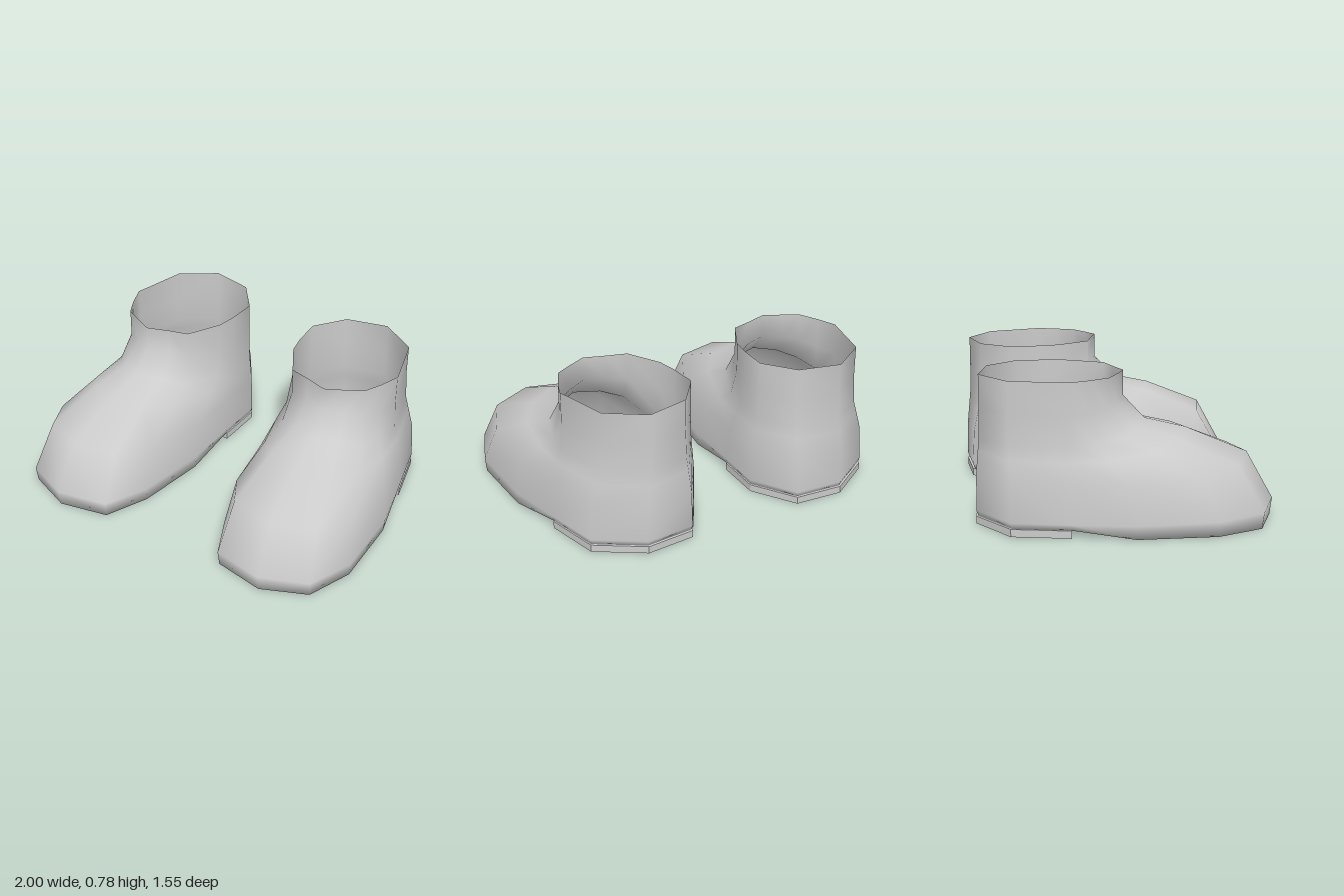
import * as THREE from 'three';

// Matching outlines [x, z], both running from the toe, round the outer side and heel, to the inner side
const SOLE = [[0.65, 0.775], [0.9, 0.67], [1, 0.42], [0.99, 0], [0.92, -0.32], [0.85, -0.62], [0.6, -0.78],
  [0.33, -0.76], [0.18, -0.52], [0.19, -0.25], [0.195, 0.08], [0.26, 0.48], [0.37, 0.72]];
const RIM = [[0.57, -0.01], [0.67, -0.06], [0.76, -0.11], [0.81, -0.21], [0.85, -0.32], [0.77, -0.62], [0.57, -0.755],
  [0.34, -0.7], [0.21, -0.53], [0.22, -0.37], [0.24, -0.26], [0.34, -0.08], [0.45, -0.05]];

// Levels from sole to rim: blend towards the rim outline, height at the sides and heel, height over the toe
const LEVELS = [[0, 0, 0], [0, 0.07, 0.09], [0.18, 0.27, 0.345], [0.59, 0.38, 0.48],
  [0.86, 0.45, 0.53], [1, 0.61, 0.65], [1, 0.78, 0.782]];
const HEEL_HEIGHT = 0.04;
const HEEL_FIRST = 4, HEEL_LAST = 9;

const material = new THREE.MeshStandardMaterial({ color: 0xcccccc, side: THREE.DoubleSide });

// Upper and sole as one smooth skin, open at the ankle
function upperGeometry(side) {
  const n = SOLE.length;
  const positions = [];
  const index = [];
  const tri = (a, b, c) => (side > 0 ? index.push(a, b, c) : index.push(a, c, b));

  LEVELS.forEach(([t, ySide, yToe], row) => {
    SOLE.forEach(([sx, sz], k) => {
      const front = Math.max(0, (sz + 0.1) / 0.875) ** 2;
      const inset = row === 0 ? 0.985 : 1;
      const x = 0.59 + (THREE.MathUtils.lerp(sx, RIM[k][0], t) - 0.59) * inset;
      const z = THREE.MathUtils.lerp(sz, RIM[k][1], t) * inset;
      let y = THREE.MathUtils.lerp(ySide, yToe, front);
      // the sole rises from the ball of the foot to the heel
      if (row === 0 && k >= HEEL_FIRST && k <= HEEL_LAST) y = HEEL_HEIGHT;
      positions.push(side * x, y, z);
    });
  });

  // walls
  for (let r = 0; r < LEVELS.length - 1; r++) {
    for (let k = 0; k < n; k++) {
      const a = r * n + k, b = r * n + (k + 1) % n;
      tri(a, b, b + n);
      tri(a, b + n, a + n);
    }
  }

  // sole, bridged from outer to inner edge
  tri(0, n - 1, 1);
  for (let i = 1; i < 6; i++) {
    tri(i, n - i, i + 1);
    tri(n - i, n - i - 1, i + 1);
  }

  const g = new THREE.BufferGeometry();
  g.setAttribute('position', new THREE.Float32BufferAttribute(positions, 3));
  g.setIndex(index);
  g.computeVertexNormals();
  return g;
}

// Low heel block under the rear of the sole
function heelGeometry(side) {
  const outline = SOLE.slice(HEEL_FIRST, HEEL_LAST + 1)
    .map(([x, z]) => new THREE.Vector2(side * x, -z));
  const g = new THREE.ExtrudeGeometry(new THREE.Shape(outline), { depth: HEEL_HEIGHT, bevelEnabled: false });
  return g.rotateX(-Math.PI / 2);
}

function createBoot(side) {
  const boot = new THREE.Group();
  boot.name = side > 0 ? 'leftBoot' : 'rightBoot';
  const upper = new THREE.Mesh(upperGeometry(side), material);
  upper.name = 'upper';
  const heel = new THREE.Mesh(heelGeometry(side), material);
  heel.name = 'heel';
  boot.add(upper, heel);
  return boot;
}

export function createModel() {
  const model = new THREE.Group();
  model.name = 'boots';
  model.add(createBoot(1), createBoot(-1));
  return model;
}
